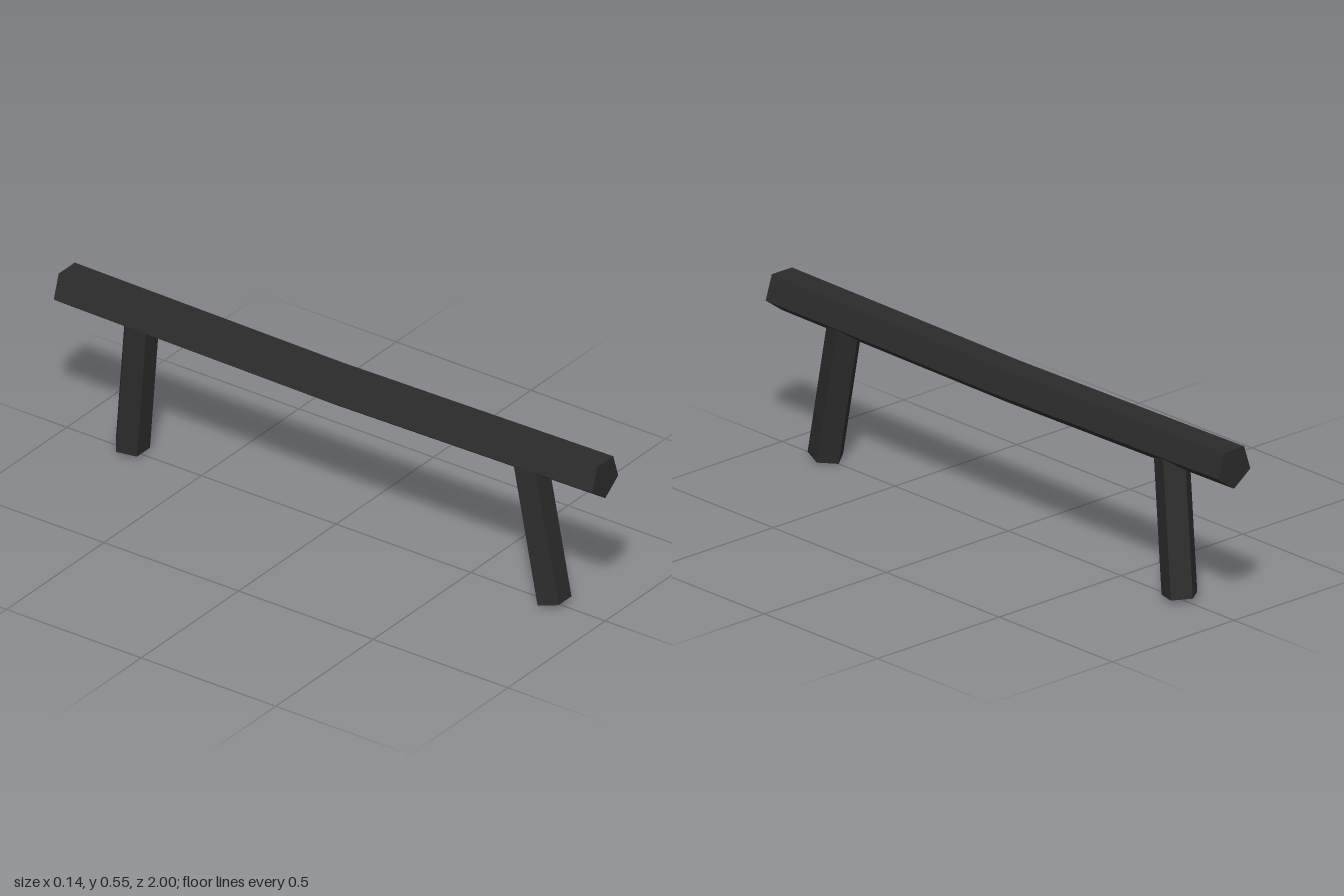
import * as THREE from 'three';

const rad = THREE.MathUtils.degToRad;

// Facet a geometry so every side is flat shaded
function faceted(geometry) {
  const g = geometry.toNonIndexed();
  g.computeVertexNormals();
  return g;
}

export function createModel() {
  const model = new THREE.Group();
  model.name = 'lowRail';
  const darkGrey = new THREE.MeshStandardMaterial({ color: 0x2b2b2b });
  darkGrey.name = 'darkGrey';

  // Five-sided rail: flat top, ridge underneath, sagging slightly at mid-span
  const railGeometry = new THREE.CylinderGeometry(0.07, 0.07, 2, 5, 2);
  railGeometry.rotateX(Math.PI / 2);
  const p = railGeometry.attributes.position;
  for (let i = 0; i < p.count; i++) {
    const bend = 1 - Math.abs(p.getZ(i));
    p.setX(i, p.getX(i) - 0.002 * bend);
    p.setY(i, p.getY(i) + 0.4955 - 0.011 * bend);
  }
  const rail = new THREE.Mesh(faceted(railGeometry), darkGrey);
  rail.name = 'rail';
  model.add(rail);

  // Five-sided legs: flat face forward, leaning in towards the middle
  function addLeg(name, footY, footZ, lean) {
    const length = 0.475;
    const g = new THREE.CylinderGeometry(0.057, 0.057, length, 5, 1, false, Math.PI);
    g.translate(0, length / 2, 0);
    const leg = new THREE.Mesh(faceted(g), darkGrey);
    leg.name = name;
    leg.position.set(0, footY, footZ);
    leg.rotation.x = rad(lean);
    model.add(leg);
  }
  addLeg('frontLeg', 0.011, 0.805, -11);
  addLeg('rearLeg', 0.013, -0.761, 4.4);

  return model;
}
